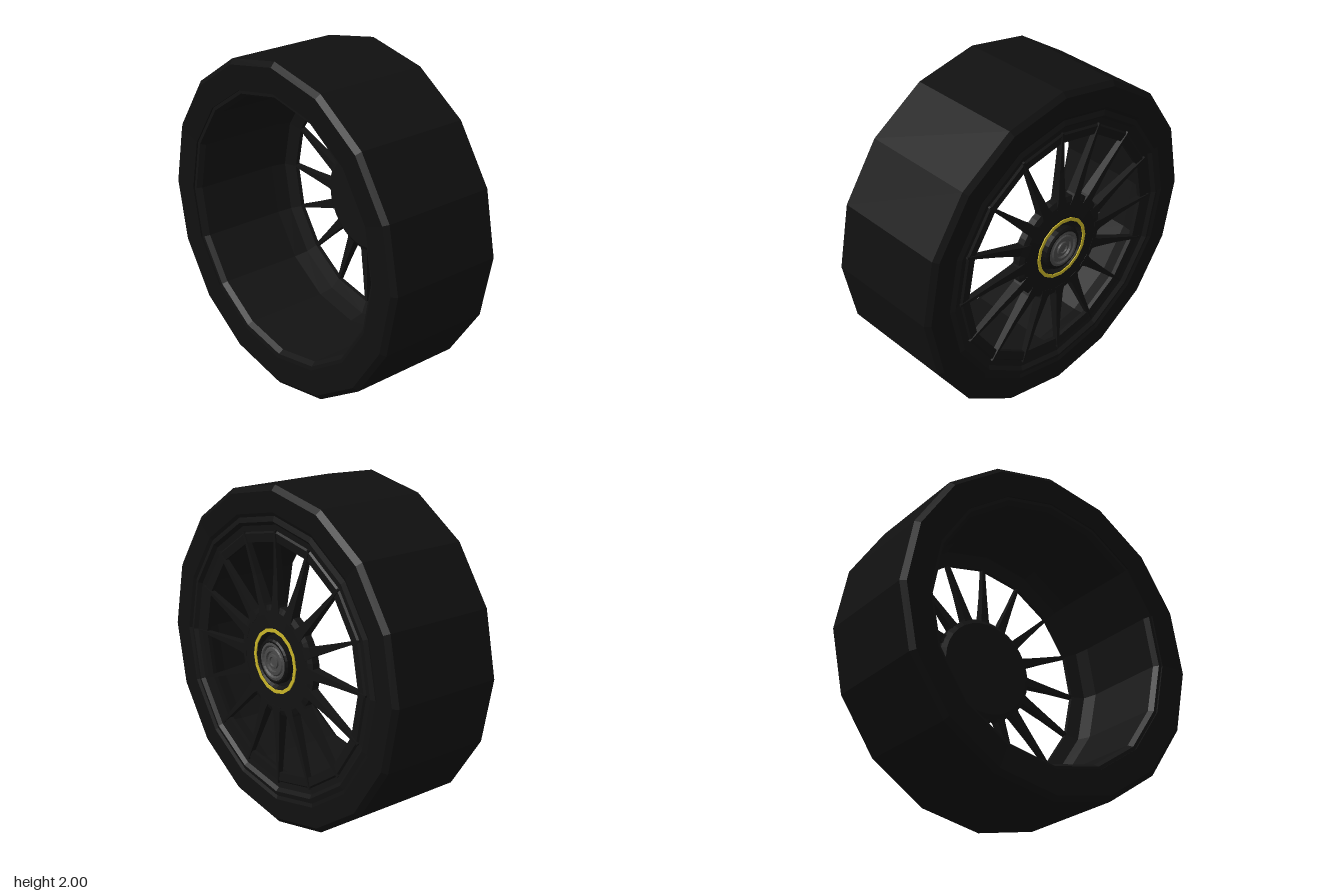
import * as THREE from 'three';

const SIDES = 16;
const material = (color) => new THREE.MeshStandardMaterial({ color, flatShading: true, roughness: 0.9 });
const black = material(0x101010);
const rimBlack = material(0x131313);
const grey = material(0x484848);
const yellow = material(0xc8b428);

// Turns a profile of [radius, x] points around the axle (the x axis).
function turned(name, profile, mat, sides = SIDES) {
  const points = profile.map(([r, x]) => new THREE.Vector2(r, x));
  const geometry = new THREE.LatheGeometry(points, sides);
  geometry.rotateZ(-Math.PI / 2);
  const mesh = new THREE.Mesh(geometry, mat);
  mesh.name = name;
  return mesh;
}

// Tapered bar running up from the hub, given [radius, halfWidth, backX, frontX] sections.
function spokeGeometry(sections) {
  const positions = [], index = [];
  for (const [y, w, back, front] of sections) {
    positions.push(front, y, w, front, y, -w, back, y, -w, back, y, w);
  }
  for (let s = 0; s < sections.length - 1; s++) {
    for (let i = 0; i < 4; i++) {
      const a = s * 4 + i, b = s * 4 + (i + 1) % 4;
      index.push(a, b, b + 4, a, b + 4, a + 4);
    }
  }
  const end = (sections.length - 1) * 4;
  index.push(0, 2, 1, 0, 3, 2, end, end + 1, end + 2, end, end + 2, end + 3);
  const geometry = new THREE.BufferGeometry();
  geometry.setAttribute('position', new THREE.Float32BufferAttribute(positions, 3));
  geometry.setIndex(index);
  geometry.computeVertexNormals();
  return geometry;
}

export function createModel() {
  const model = new THREE.Group();
  model.name = 'wheel';
  const wheel = new THREE.Group();
  wheel.name = 'wheelAssembly';
  wheel.position.y = 1;
  model.add(wheel);

  // Tyre with bevelled shoulders
  wheel.add(turned('tyre', [
    [0.82, -0.37], [0.97, -0.38], [1, -0.355], [1, 0.345], [0.97, 0.37],
    [0.85, 0.365], [0.82, 0.35], [0.82, -0.37],
  ], black));

  // Rim: stepped outer lip, narrow spoke seat, wide open barrel behind
  wheel.add(turned('rim', [
    [0.83, -0.36], [0.83, 0.355], [0.8, 0.365], [0.78, 0.345],
    [0.745, 0.34], [0.735, 0.35], [0.685, 0.345], [0.685, 0.32], [0.76, 0.29],
    [0.78, 0.2], [0.78, -0.33], [0.8, -0.36], [0.83, -0.36],
  ], rimBlack));

  // Spokes, one at each corner of the rim
  const spoke = spokeGeometry([
    [0.27, 0.04, 0.29, 0.36], [0.33, 0.027, 0.3, 0.357],
    [0.5, 0.017, 0.31, 0.352], [0.75, 0.006, 0.325, 0.355],
  ]);
  const spokes = new THREE.Group();
  spokes.name = 'spokes';
  for (let i = 0; i < SIDES; i++) {
    const mesh = new THREE.Mesh(spoke, rimBlack);
    mesh.name = 'spoke';
    mesh.rotation.x = (i / SIDES) * Math.PI * 2;
    spokes.add(mesh);
  }
  wheel.add(spokes);

  // Hub with a shallow recess in its face
  wheel.add(turned('hub', [
    [0, 0.28], [0.29, 0.28], [0.32, 0.3], [0.32, 0.345], [0.29, 0.358],
    [0.2, 0.36], [0.165, 0.36], [0.15, 0.335], [0, 0.335],
  ], rimBlack, SIDES * 2));

  // Coloured ring on the hub face
  wheel.add(turned('hubRing', [
    [0.17, 0.355], [0.19, 0.355], [0.19, 0.366], [0.17, 0.366], [0.17, 0.355],
  ], yellow));

  // Wheel nut: dark collar with stepped grey centre
  wheel.add(turned('nutCollar', [
    [0.13, 0.33], [0.13, 0.37], [0.12, 0.379], [0.11, 0.379], [0.11, 0.33],
  ], black, 24));
  wheel.add(turned('wheelNut', [
    [0.112, 0.33], [0.112, 0.376], [0.095, 0.38], [0.085, 0.37], [0.078, 0.378],
    [0.06, 0.38], [0.055, 0.368], [0.042, 0.368], [0.04, 0.378], [0.028, 0.38],
    [0.024, 0.372], [0, 0.372],
  ], grey, 24));

  return model;
}
